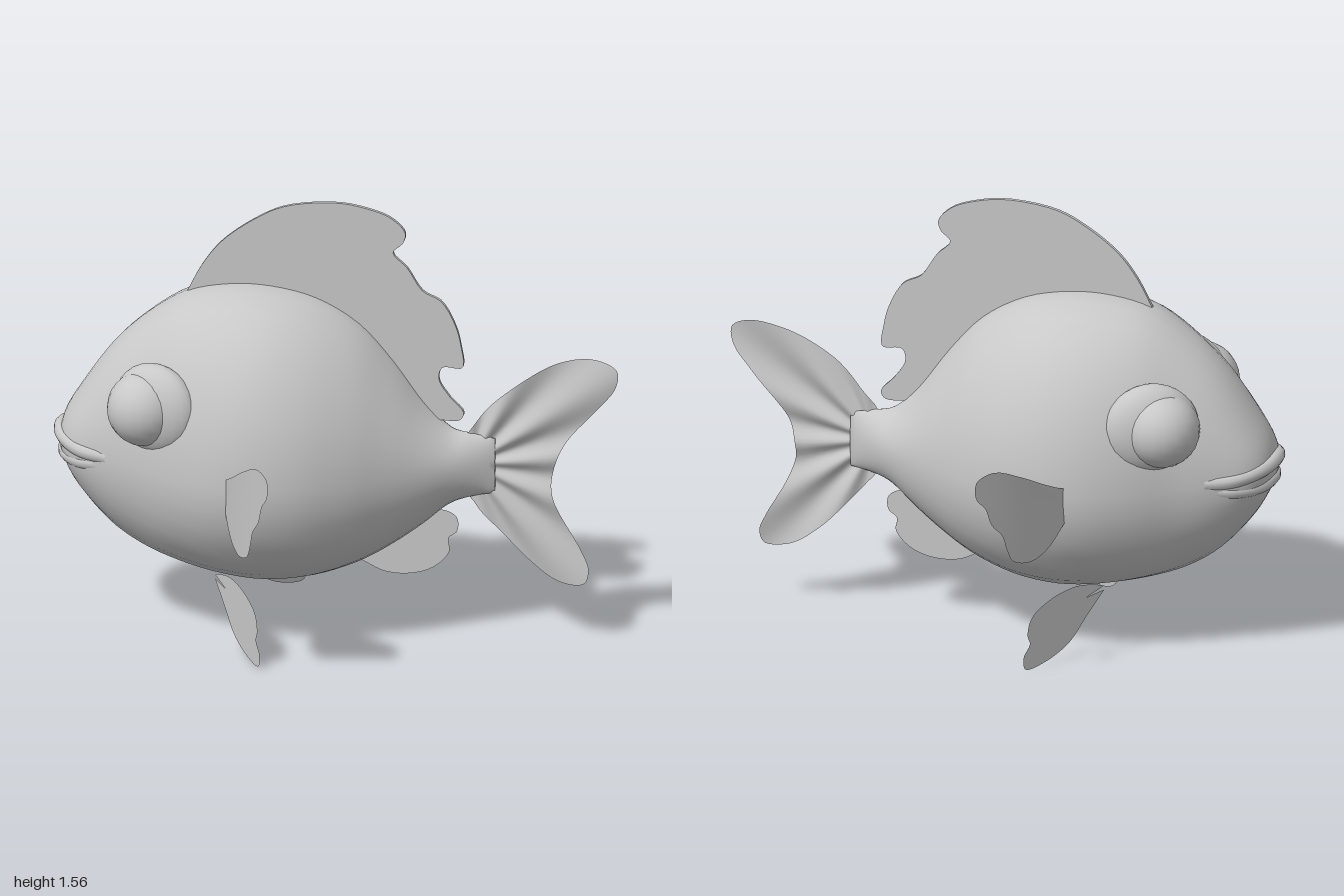
import * as THREE from 'three';

const grey = new THREE.MeshStandardMaterial({ color: 0xc8c8c8, side: THREE.DoubleSide });

function part(name, geometry) {
  const mesh = new THREE.Mesh(geometry, grey);
  mesh.name = name;
  return mesh;
}

function indexed(positions, index) {
  const g = new THREE.BufferGeometry();
  g.setAttribute('position', new THREE.Float32BufferAttribute(positions, 3));
  g.setIndex(index);
  g.computeVertexNormals();
  return g;
}

const smooth = (points, n) =>
  new THREE.CatmullRomCurve3(points.map(([a, b]) => new THREE.Vector3(a, b, 0))).getPoints(n);

// Thin fin: rays from a root point to a smooth outline, placed in space by a rule
function finGeometry(root, outline, place, n = 56, rings = 6) {
  const pos = [], idx = [];
  const edge = smooth(outline, n);
  edge.forEach((p) => {
    for (let k = 0; k <= rings; k++) {
      const t = k / rings;
      pos.push(...place(root[0] + (p.x - root[0]) * t, root[1] + (p.y - root[1]) * t));
    }
  });
  for (let i = 0; i < n; i++) {
    for (let k = 0; k < rings; k++) {
      const a = i * (rings + 1) + k, b = a + rings + 1;
      idx.push(a, b, a + 1, b, b + 1, a + 1);
    }
  }
  return indexed(pos, idx);
}

// Body: egg-shaped rings along x, pinched towards the back ridge
function bodyGeometry() {
  // x, top, bottom, half width, height of widest point
  const sections = [
    [-0.975, 0.68, 0.65, 0.02, 0.665], [-0.955, 0.76, 0.59, 0.11, 0.665],
    [-0.90, 0.855, 0.49, 0.18, 0.66], [-0.79, 1.01, 0.365, 0.24, 0.655],
    [-0.67, 1.125, 0.285, 0.295, 0.65], [-0.53, 1.215, 0.235, 0.37, 0.64],
    [-0.38, 1.25, 0.203, 0.425, 0.63], [-0.23, 1.25, 0.19, 0.438, 0.63],
    [-0.07, 1.215, 0.21, 0.407, 0.63], [0.08, 1.13, 0.262, 0.333, 0.63],
    [0.20, 1.0, 0.33, 0.252, 0.63], [0.31, 0.85, 0.41, 0.176, 0.63],
    [0.40, 0.765, 0.485, 0.115, 0.63], [0.48, 0.745, 0.515, 0.062, 0.63],
    [0.56, 0.73, 0.53, 0.012, 0.63],
  ];
  const curve = (f) => new THREE.CatmullRomCurve3(sections.map(f), false, 'catmullrom');
  const heights = curve((s) => new THREE.Vector3(s[0], s[1], s[2]));
  const widths = curve((s) => new THREE.Vector3(s[3], s[4], 0));
  const rings = 56, sides = 32, pos = [], idx = [];
  for (let i = 0; i <= rings; i++) {
    const h = heights.getPoint(i / rings), w = widths.getPoint(i / rings);
    const pinch = 1 + THREE.MathUtils.clamp(h.x + 0.2, 0, 0.4);
    for (let j = 0; j < sides; j++) {
      const a = (j / sides) * Math.PI * 2, s = Math.sin(a), c = Math.cos(a);
      const power = s > 0 ? pinch : 1;
      pos.push(h.x, w.y + s * (s > 0 ? h.y - w.y : w.y - h.z),
        w.x * Math.sign(c) * Math.abs(c) ** power);
      if (i < rings) {
        const p = i * sides + j, q = i * sides + (j + 1) % sides;
        idx.push(p, p + sides, q, q, p + sides, q + sides);
      }
    }
  }
  // close the snout and the tail root
  for (let j = 1; j < sides - 1; j++) {
    const e = rings * sides;
    idx.push(0, j, j + 1, e, e + j + 1, e + j);
  }
  return indexed(pos, idx);
}

// Lip: a tube wrapped around the snout
function lipGeometry(half, radius) {
  const mirrored = half.slice(0, -1).reverse().map(([x, y, z]) => [x, y, -z]);
  const path = [...half, ...mirrored].map((p) => new THREE.Vector3(...p));
  return new THREE.TubeGeometry(new THREE.CatmullRomCurve3(path), 32, radius, 10);
}

export function createModel() {
  const fish = new THREE.Group();
  fish.name = 'fish';
  fish.add(part('body', bodyGeometry()));

  fish.add(part('upperLip', lipGeometry(
    [[-0.77, 0.66, 0.225], [-0.87, 0.667, 0.185], [-0.945, 0.685, 0.105], [-0.972, 0.697, 0]], 0.026)));
  fish.add(part('lowerLip', lipGeometry(
    [[-0.79, 0.63, 0.21], [-0.87, 0.622, 0.175], [-0.935, 0.62, 0.1], [-0.958, 0.622, 0]], 0.024)));

  // Dorsal fin
  const crest = smooth([
    [-0.54, 1.19], [-0.475, 1.315], [-0.405, 1.405], [-0.285, 1.495], [-0.18, 1.545], [0, 1.567],
    [0.115, 1.55], [0.195, 1.52], [0.243, 1.47], [0.235, 1.432], [0.2, 1.395], [0.25, 1.342],
    [0.305, 1.26], [0.37, 1.225], [0.42, 1.14], [0.44, 1.065], [0.445, 0.985], [0.375, 0.983],
    [0.362, 0.94], [0.4, 0.877], [0.45, 0.82], [0.435, 0.792], [0.36, 0.79],
  ], 90);
  const dorsal = new THREE.Shape([
    ...crest.map((p) => new THREE.Vector2(p.x, p.y)),
    ...[[0.26, 0.82], [0.08, 1.02], [-0.2, 1.13]].map((p) => new THREE.Vector2(...p)),
  ]);
  const dorsalGeometry = new THREE.ExtrudeGeometry(dorsal, { depth: 0.016, bevelEnabled: false });
  fish.add(part('dorsalFin', dorsalGeometry.translate(0, 0, -0.008)));

  // Tail fin with pleats fanning out from the root
  const root = [0.47, 0.63];
  fish.add(part('tailFin', finGeometry(root, [
    [0.46, 0.74], [0.54, 0.845], [0.65, 0.94], [0.783, 1.016], [0.917, 1.037], [0.992, 1.005],
    [0.987, 0.941], [0.917, 0.85], [0.81, 0.727], [0.773, 0.647], [0.757, 0.567], [0.789, 0.46],
    [0.864, 0.326], [0.89, 0.262], [0.875, 0.214], [0.783, 0.219], [0.676, 0.289], [0.57, 0.396],
    [0.46, 0.52],
  ], (x, y) => {
    const r = Math.hypot(x - root[0], y - root[1]);
    const a = Math.atan2(y - root[1], x - root[0]);
    return [x, y, 0.012 * Math.sin(a * 13) * Math.min(1, r * 5)];
  }, 90, 8)));

  // Anal fin
  fish.add(part('analFin', finGeometry([0.22, 0.4], [
    [0.06, 0.27], [0.1, 0.25], [0.17, 0.219], [0.265, 0.217], [0.345, 0.246], [0.398, 0.305],
    [0.395, 0.353], [0.425, 0.38], [0.425, 0.43], [0.385, 0.455], [0.33, 0.453], [0.26, 0.46],
  ], (x, y) => [x, y, 0])));

  // Paired parts; fin outlines are given as (distance sideways, height)
  for (const [side, s] of [['near', 1], ['far', -1]]) {
    const socket = part(side + 'EyeSocket', new THREE.SphereGeometry(1, 24, 16));
    socket.scale.set(0.17, 0.165, 0.085);
    socket.position.set(-0.595, 0.865, 0.275 * s);
    socket.rotation.y = -0.45 * s;
    const eye = part(side + 'Eye', new THREE.SphereGeometry(0.134, 20, 14));
    eye.position.set(-0.632, 0.865, 0.271 * s);
    fish.add(socket, eye);

    fish.add(part(side + 'PectoralFin', finGeometry([0.42, 0.61], [
      [0.4, 0.665], [0.425, 0.67], [0.535, 0.72], [0.646, 0.78], [0.757, 0.828], [0.82, 0.81],
      [0.823, 0.75], [0.787, 0.7], [0.765, 0.637], [0.722, 0.584], [0.703, 0.527],
      [0.677, 0.478], [0.6, 0.453], [0.513, 0.478], [0.425, 0.544], [0.4, 0.56],
    ], (w, y) => {
      const d = w - 0.43;
      return [-0.32 + 0.36 * d + 0.46 * d * d, y, w * s];
    })));

    fish.add(part(side + 'PelvicFin', finGeometry([0.25, 0.21], [
      [0.18, 0.235], [0.22, 0.25], [0.29, 0.262], [0.38, 0.243], [0.455, 0.195], [0.473, 0.133],
      [0.464, 0.097], [0.488, 0.053], [0.48, 0.008], [0.4, 0.018], [0.314, 0.062],
      [0.248, 0.14], [0.18, 0.22],
    ], (w, y) => [-0.39 + 0.68 * (w - 0.195), y, w * s])));
  }
  return fish;
}
